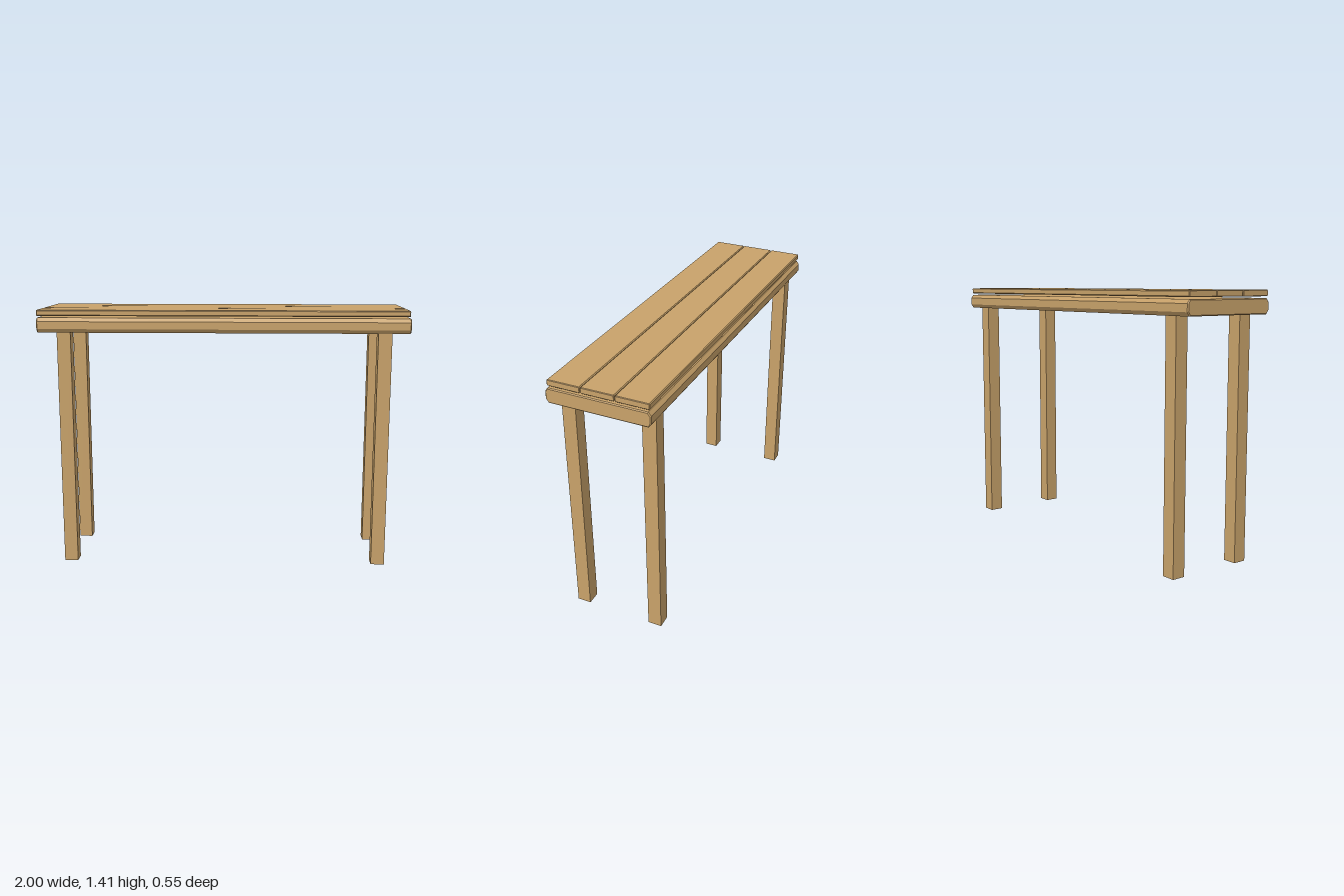
import * as THREE from 'three';

const wood = new THREE.MeshStandardMaterial({ color: 0xc8a26a, flatShading: true });

// Board running along x with chamfered long edges (cz by cy) and slightly eased ends
function board(name, x0, x1, y0, y1, z0, z1, cz, cy, ease) {
  const w = (z1 - z0) / 2, h = (y1 - y0) / 2;
  const outline = new THREE.Shape([
    [-w + cz, -h], [w - cz, -h], [w, -h + cy], [w, h - cy],
    [w - cz, h], [-w + cz, h], [-w, h - cy], [-w, -h + cy],
  ].map(([a, b]) => new THREE.Vector2(a, b)));
  const depth = x1 - x0 - 2 * ease;
  const geometry = new THREE.ExtrudeGeometry(outline, {
    depth, bevelEnabled: true, bevelSegments: 1,
    bevelThickness: ease, bevelSize: ease, bevelOffset: -ease,
  });
  geometry.translate(0, 0, -depth / 2).rotateY(Math.PI / 2);
  const mesh = new THREE.Mesh(geometry, wood);
  mesh.name = name;
  mesh.position.set((x0 + x1) / 2, (y0 + y1) / 2, (z0 + z1) / 2);
  return mesh;
}

export function createModel() {
  const table = new THREE.Group();
  table.name = 'table';

  // Thick base slab
  table.add(board('baseSlab', -1, 1, 1.29, 1.37, -0.274, 0.276, 0.014, 0.02, 0.005));

  // Three top planks, raised just clear of the slab
  for (let i = 0; i < 3; i++) {
    const z = -0.178 + i * 0.1785;
    table.add(board('topPlank' + (i + 1), -1, 0.994, 1.379, 1.411, z - 0.088, z + 0.088, 0.004, 0.005, 0.003));
  }

  // Square legs
  const legGeometry = new THREE.BoxGeometry(0.074, 1.29, 0.074);
  for (const [side, x] of [['Left', 0.866], ['Right', -0.858]]) {
    for (const [end, z] of [['front', 0.217], ['back', -0.213]]) {
      const leg = new THREE.Mesh(legGeometry, wood);
      leg.name = end + side + 'Leg';
      leg.position.set(x, 0.645, z);
      table.add(leg);
    }
  }
  return table;
}
